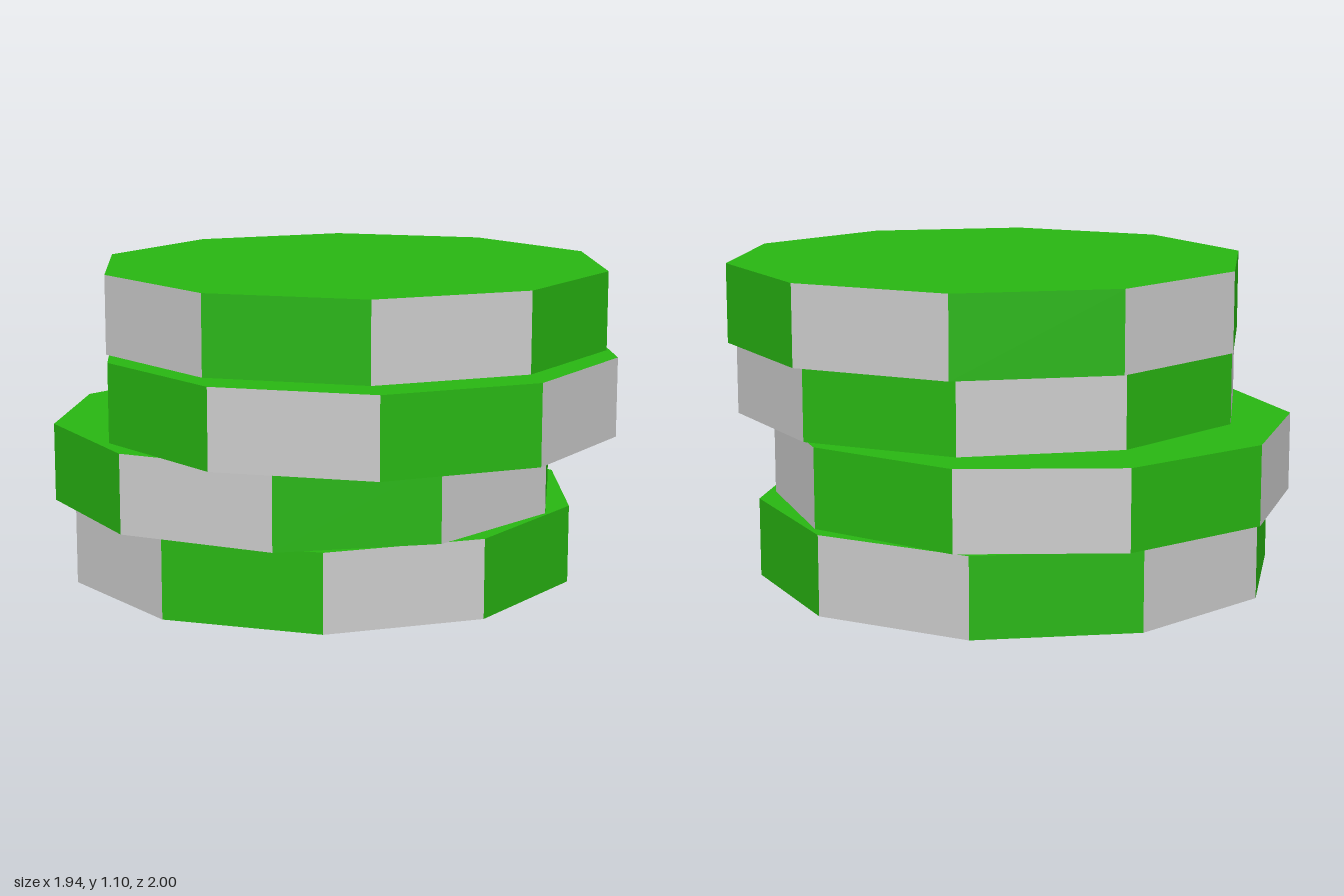
import * as THREE from 'three';

const SIDES = 10, RADIUS = 0.908, HEIGHT = 0.275;

// Ten-sided chip: green caps, rim panels alternating green and grey
function makeChip({ x, z, turn, firstPanel }, level, materials) {
  const geometry = new THREE.CylinderGeometry(
    RADIUS, RADIUS, HEIGHT, SIDES, 1, false, THREE.MathUtils.degToRad(turn));
  geometry.clearGroups();
  for (let i = 0; i < SIDES; i++) geometry.addGroup(i * 6, 6, (i + firstPanel) % 2);
  geometry.addGroup(SIDES * 6, SIDES * 6, 0);

  const chip = new THREE.Mesh(geometry, materials);
  chip.name = `chip${level + 1}`;
  chip.position.set(x, HEIGHT * (level + 0.5), z);
  return chip;
}

export function createModel() {
  const green = new THREE.MeshStandardMaterial({ color: 0x28b612, flatShading: true });
  const grey = new THREE.MeshStandardMaterial({ color: 0xcccccc, flatShading: true });

  // Loosely stacked chips, bottom to top; firstPanel 0 = green, 1 = grey
  const stack = [
    { x: -0.015, z: -0.095, turn: -6.3, firstPanel: 1 },
    { x: -0.07, z: -0.095, turn: -13.2, firstPanel: 0 },
    { x: 0.09, z: 0.095, turn: -3.1, firstPanel: 0 },
    { x: 0.09, z: -0.06, turn: -3.6, firstPanel: 1 },
  ];

  const model = new THREE.Group();
  model.name = 'chipStack';
  stack.forEach((spec, level) => model.add(makeChip(spec, level, [green, grey])));
  return model;
}
